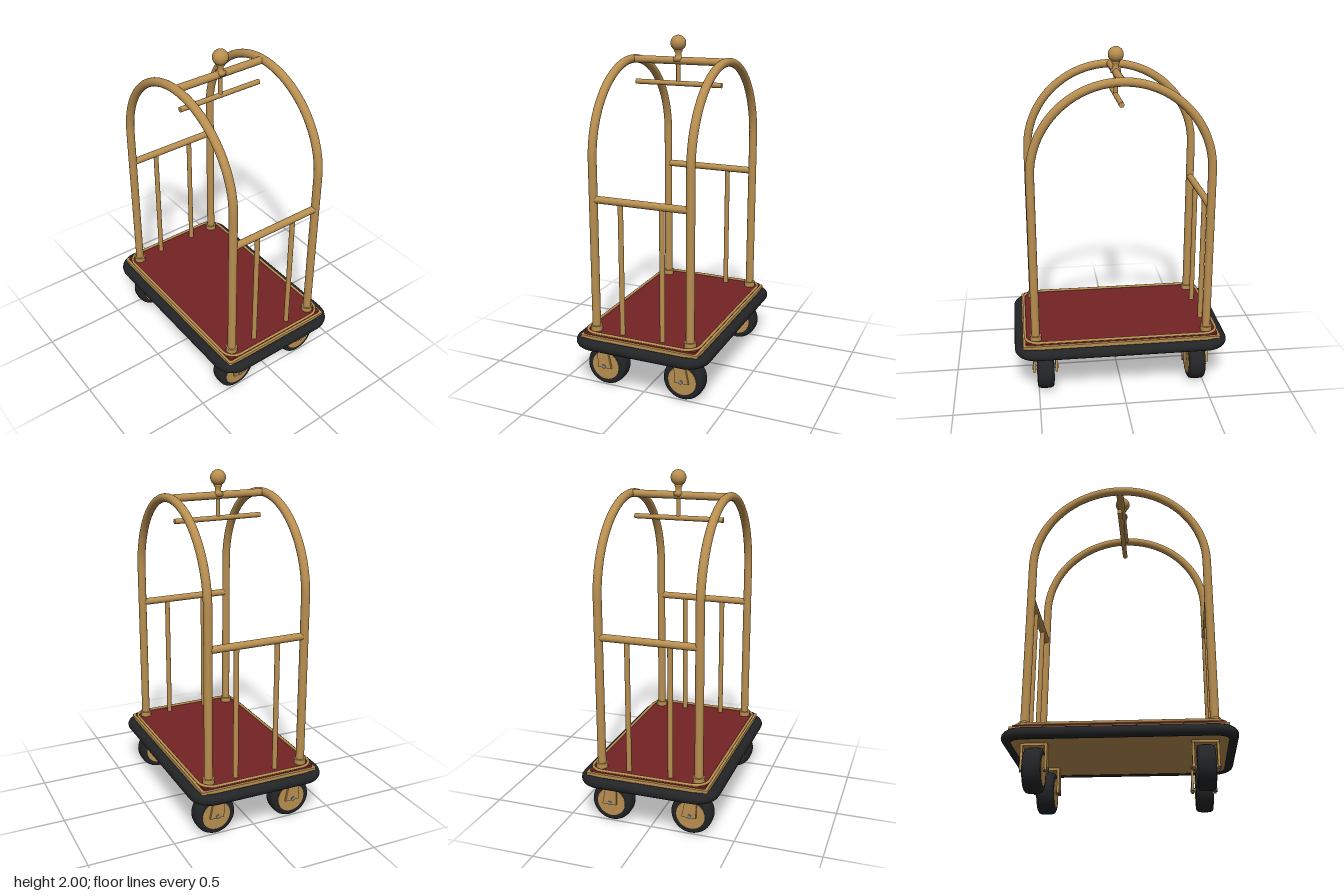
import * as THREE from 'three';

const brass = new THREE.MeshStandardMaterial({ color: 0xb98f50 });
brass.name = 'brass';
const carpetRed = new THREE.MeshStandardMaterial({ color: 0x742224 });
carpetRed.name = 'carpet red';
const rubber = new THREE.MeshStandardMaterial({ color: 0x232426 });
rubber.name = 'black rubber';
const steel = new THREE.MeshStandardMaterial({ color: 0x85888c });
steel.name = 'steel';

function add(parent, name, geometry, material, x = 0, y = 0, z = 0) {
  const mesh = new THREE.Mesh(geometry, material);
  mesh.name = name;
  mesh.position.set(x, y, z);
  parent.add(mesh);
  return mesh;
}

// Straight round bar along one axis, centred on the given point
function bar(parent, name, axis, radius, length, x, y, z, material = brass) {
  const g = new THREE.CylinderGeometry(radius, radius, length, 20);
  if (axis === 'x') g.rotateZ(Math.PI / 2);
  if (axis === 'z') g.rotateX(Math.PI / 2);
  return add(parent, name, g, material, x, y, z);
}

function roundedRect(hx, hz, r) {
  const s = new THREE.Shape();
  s.absarc(hx - r, hz - r, r, 0, Math.PI / 2);
  s.absarc(-hx + r, hz - r, r, Math.PI / 2, Math.PI);
  s.absarc(-hx + r, -hz + r, r, Math.PI, Math.PI * 1.5);
  s.absarc(hx - r, -hz + r, r, Math.PI * 1.5, Math.PI * 2);
  s.closePath();
  return s;
}

// Horizontal slab with rounded corners, from y0 to y1
function slab(parent, name, hx, hz, r, y0, y1, material) {
  const g = new THREE.ExtrudeGeometry(roundedRect(hx, hz, r), {
    depth: y1 - y0, bevelEnabled: false, curveSegments: 6,
  });
  g.rotateX(-Math.PI / 2);
  add(parent, name, g, material, 0, y0, 0);
}

// Closed tube following a rounded rectangle
function ring(parent, name, hx, hz, r, tubeRadius, y, material) {
  const pts = roundedRect(hx, hz, r).getSpacedPoints(160).slice(0, -1)
    .map((p) => new THREE.Vector3(p.x, 0, -p.y));
  const path = new THREE.CatmullRomCurve3(pts, true);
  add(parent, name, new THREE.TubeGeometry(path, 200, tubeRadius, 16, true), material, 0, y, 0);
}

// Two posts joined by a half-circle arch
function archGeometry(halfWidth, yBottom, ySpring, radius) {
  const arc = [];
  for (let i = 0; i <= 32; i++) {
    const a = Math.PI * (1 - i / 32);
    arc.push(new THREE.Vector3(Math.cos(a) * halfWidth, ySpring + Math.sin(a) * halfWidth, 0));
  }
  const path = new THREE.CurvePath();
  path.add(new THREE.LineCurve3(new THREE.Vector3(-halfWidth, yBottom, 0), arc[0]));
  path.add(new THREE.CatmullRomCurve3(arc));
  path.add(new THREE.LineCurve3(arc[32], new THREE.Vector3(halfWidth, yBottom, 0)));
  return new THREE.TubeGeometry(path, 120, radius, 20, false);
}

function lathe(points, segments) {
  return new THREE.LatheGeometry(points.map(([r, y]) => new THREE.Vector2(r, y)), segments);
}

function makeCaster() {
  const caster = new THREE.Group();
  caster.name = 'caster';

  // Tyre with rounded shoulders, turned about the x axis
  const tyre = lathe([
    [0.07, -0.046], [0.09, -0.05], [0.105, -0.049], [0.115, -0.043], [0.12, -0.032],
    [0.122, -0.016], [0.122, 0.016], [0.12, 0.032], [0.115, 0.043], [0.105, 0.049],
    [0.09, 0.05], [0.07, 0.046],
  ], 40);
  tyre.rotateZ(Math.PI / 2);
  add(caster, 'tyre', tyre, rubber, 0, 0.123, 0);
  const hub = new THREE.CylinderGeometry(0.085, 0.085, 0.102, 36);
  hub.rotateZ(Math.PI / 2);
  add(caster, 'wheelHub', hub, brass, 0, 0.123, 0);

  // Raked fork: one plate each side, joined by a crown under the deck
  const side = new THREE.Shape([
    new THREE.Vector2(-0.043, 0.262), new THREE.Vector2(-0.038, 0.118),
    new THREE.Vector2(0.047, 0.118), new THREE.Vector2(0.017, 0.262),
  ]);
  const plate = new THREE.ExtrudeGeometry(side, { depth: 0.014, bevelEnabled: false });
  plate.translate(0, 0, -0.007);
  plate.rotateY(Math.PI / 2);
  for (const s of [-1, 1]) add(caster, 'forkPlate', plate, brass, s * 0.066, 0, 0);
  add(caster, 'forkCrown', new THREE.BoxGeometry(0.146, 0.014, 0.06), brass, 0, 0.256, 0.013);
  bar(caster, 'axle', 'x', 0.012, 0.156, 0, 0.127, 0, steel);
  return caster;
}

export function createModel() {
  const cart = new THREE.Group();
  cart.name = 'luggageCart';

  // Platform
  slab(cart, 'deck', 0.586, 0.362, 0.012, 0.262, 0.332, brass);
  slab(cart, 'carpet', 0.57, 0.346, 0.012, 0.332, 0.345, carpetRed);
  ring(cart, 'deckTrim', 0.571, 0.349, 0.08, 0.008, 0.35, brass);
  ring(cart, 'bumper', 0.603, 0.382, 0.1, 0.032, 0.286, rubber);

  // Arched frames, front and back
  const arch = archGeometry(0.51, 0.34, 1.345, 0.0245);
  for (const z of [-0.293, 0.293]) {
    add(cart, 'arch', arch, brass, 0, 0, z);
    for (const x of [-0.51, 0.51]) bar(cart, 'postFlange', 'y', 0.034, 0.032, x, 0.359, z);
  }

  // Side rails with balusters
  for (const x of [-0.51, 0.51]) {
    bar(cart, 'sideRail', 'z', 0.021, 0.56, x, 1.127, 0);
    for (const z of [-0.125, 0.125]) bar(cart, 'baluster', 'y', 0.015, 0.787, x, 0.733, z);
  }

  // Top bar, hanging rail and its stem
  bar(cart, 'topBar', 'z', 0.022, 0.57, 0, 1.855, 0);
  bar(cart, 'hangingRail', 'z', 0.015, 0.536, 0, 1.725, 0);
  bar(cart, 'hangingStem', 'y', 0.012, 0.13, 0, 1.79, 0);

  // Finial
  const neck = lathe([
    [0, 1.852], [0.03, 1.852], [0.03, 1.872], [0.018, 1.876], [0.017, 1.9], [0.024, 1.908],
    [0.024, 1.918], [0, 1.922],
  ], 24);
  add(cart, 'finialNeck', neck, brass);
  add(cart, 'finialBall', new THREE.SphereGeometry(0.045, 28, 20), brass, 0, 1.955, 0);

  // Wheels at the four corners
  for (const x of [-0.457, 0.457]) {
    for (const z of [-0.243, 0.243]) {
      const caster = makeCaster();
      caster.position.set(x, 0, z);
      cart.add(caster);
    }
  }
  return cart;
}
